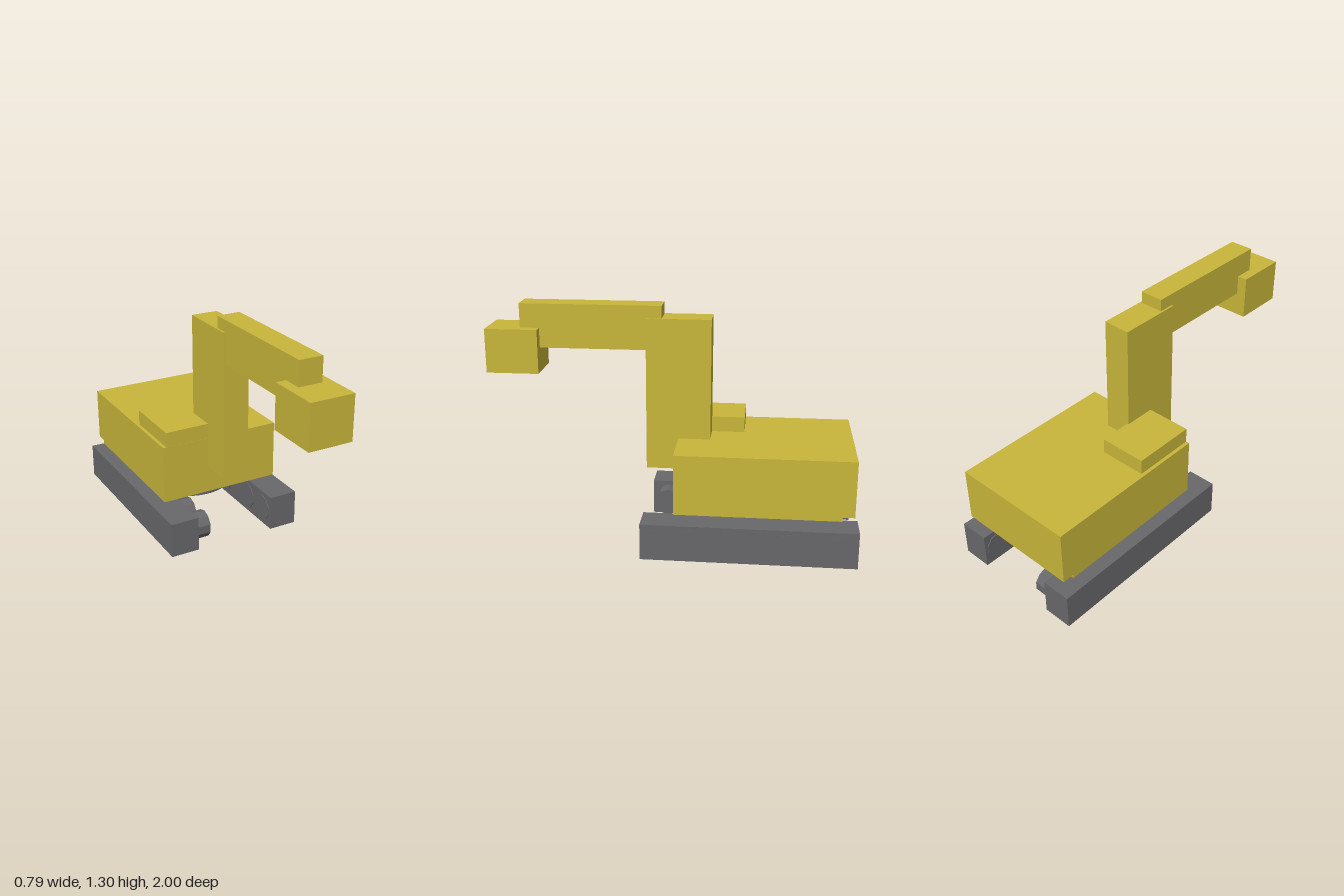
import * as THREE from 'three';

export function createModel() {
  const model = new THREE.Group();
  model.name = 'excavator';

  const yellow = new THREE.MeshStandardMaterial({ color: 0xc9b63a });
  yellow.name = 'yellow paint';
  const gray = new THREE.MeshStandardMaterial({ color: 0x68686b, side: THREE.DoubleSide });
  gray.name = 'dark gray metal';

  const add = (name, geometry, material, parent = model) => {
    const mesh = new THREE.Mesh(geometry, material);
    mesh.name = name;
    parent.add(mesh);
    return mesh;
  };

  // Box given by its extents along each axis
  const box = (name, material, [x0, x1], [y0, y1], [z0, z1], parent) => {
    const mesh = add(name, new THREE.BoxGeometry(x1 - x0, y1 - y0, z1 - z0), material, parent);
    mesh.position.set((x0 + x1) / 2, (y0 + y1) / 2, (z0 + z1) / 2);
    return mesh;
  };

  // Ten-sided road wheel with a corner pointing up
  const facetedWheel = new THREE.CylinderGeometry(0.077, 0.077, 0.17, 10, 1, false, Math.PI / 2)
    .rotateZ(Math.PI / 2)
    .toNonIndexed();
  facetedWheel.computeVertexNormals();
  const wheelZ = [0.05, -0.12, -0.385, -0.645, -0.91];

  // Tracks; both sets of wheels are shifted towards +x
  const sides = [
    { name: 'rightTrack', x: [-0.397, -0.234], wheelX: -0.234 },
    { name: 'leftTrack', x: [0.229, 0.392], wheelX: 0.3095 },
  ];
  for (const side of sides) {
    const track = new THREE.Group();
    track.name = side.name;
    model.add(track);
    box('trackBlock', gray, side.x, [0, 0.2], [-1, 0.143], track);
    for (const z of wheelZ) {
      add('roadWheel', facetedWheel, gray, track).position.set(side.wheelX, 0.102, z);
    }
  }

  // Open ring the body turns on
  add('turntable', new THREE.CylinderGeometry(0.24, 0.24, 0.115, 48, 1, true), gray)
    .position.set(0, 0.1925, -0.425);

  // Body: side profile (z, y) with a step under the tail, extruded across x
  const profile = new THREE.Shape([
    [-0.03, 0.245], [-0.03, 0.575], [-0.975, 0.575],
    [-0.975, 0.268], [-0.91, 0.268], [-0.91, 0.245],
  ].map(([z, y]) => new THREE.Vector2(-z, y)));
  const body = new THREE.ExtrudeGeometry(profile, { depth: 0.7, bevelEnabled: false });
  body.rotateY(Math.PI / 2).translate(-0.353, 0, 0);
  add('body', body, yellow);

  // Raised cab roof
  box('cab', yellow, [-0.333, -0.07], [0.5, 0.66], [-0.385, -0.031]);

  // Arm and bucket
  box('boom', yellow, [-0.079, 0.073], [0.4, 1.232], [-0.205, 0.143]);
  box('stick', yellow, [-0.068, 0.063], [1.06, 1.298], [0.058, 0.82]);
  box('bucket', yellow, [-0.123, 0.117], [0.928, 1.167], [0.716, 1]);

  return model;
}
